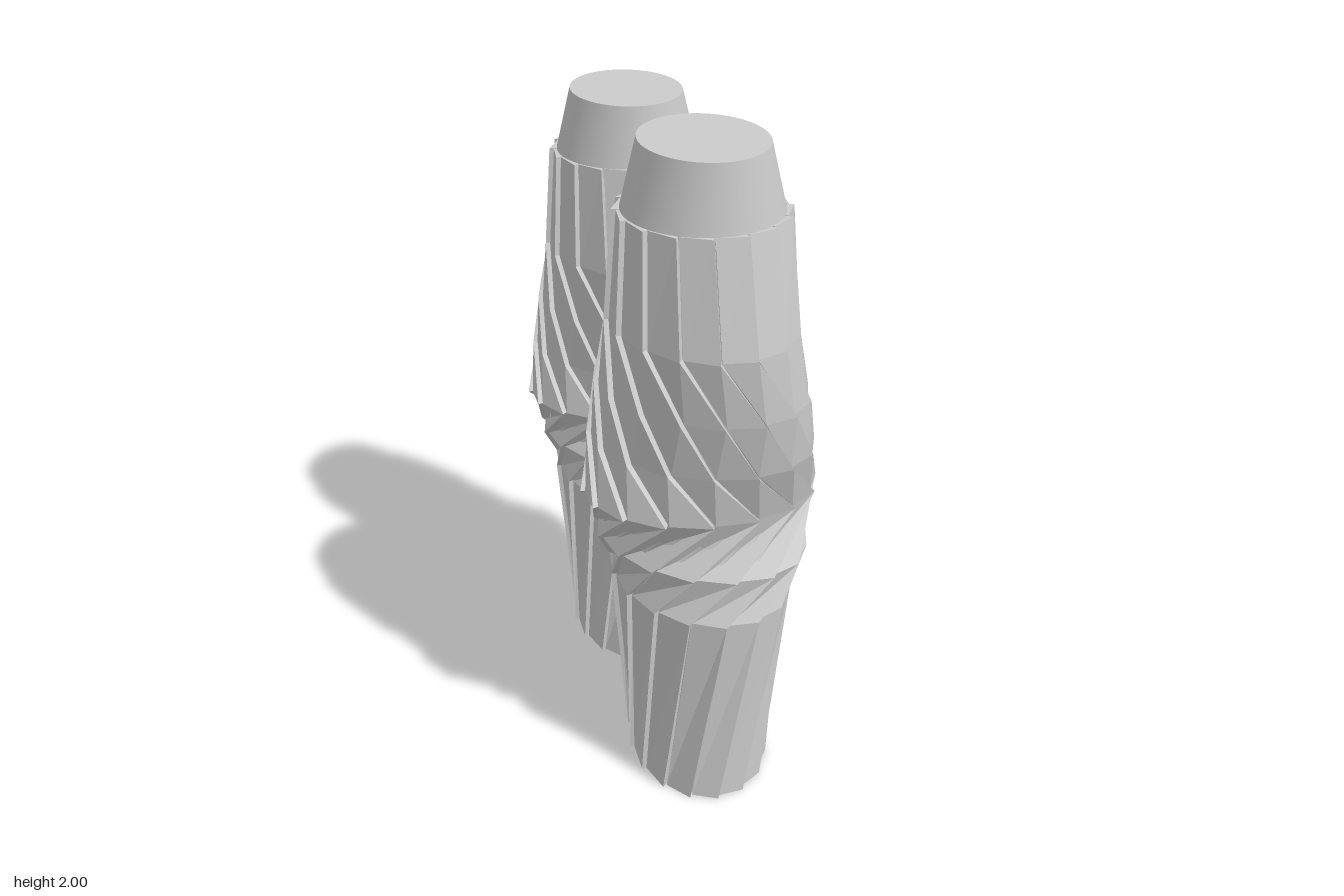
import * as THREE from 'three';
import { toCreasedNormals } from 'three/addons/utils/BufferGeometryUtils.js';

// Twisted elliptical sections: height, half width, half depth, twist in degrees
const SECTIONS = [
  [0.0, 0.218, 0.295, 0],
  [0.65, 0.252, 0.318, 20],
  [0.79, 0.262, 0.335, 46],
  [0.96, 0.262, 0.35, 86],
  [1.12, 0.264, 0.338, 57],
  [1.29, 0.268, 0.334, 38],
  [1.485, 0.262, 0.313, 15],
  [1.81, 0.245, 0.25, 15],
];
const PANELS = 16;
const THICK = 0.024;

// Point on a section at an angle, pushed inward by inset
function pointOn([y, a, b, twist], angle, inset) {
  const u = (a - inset) * Math.sin(angle);
  const v = (b - inset) * Math.cos(angle);
  const t = THREE.MathUtils.degToRad(twist);
  return [
    u * Math.cos(t) + v * Math.sin(t),
    y,
    -u * Math.sin(t) + v * Math.cos(t),
  ];
}

// Closed solid through rings of points, each counterclockwise from above
function loft(rings, out = []) {
  const n = rings[0].length;
  for (let k = 0; k < rings.length - 1; k++) {
    const lo = rings[k], hi = rings[k + 1];
    for (let i = 0; i < n; i++) {
      const j = (i + 1) % n;
      out.push(...lo[i], ...lo[j], ...hi[j], ...lo[i], ...hi[j], ...hi[i]);
    }
  }
  const bottom = rings[0], top = rings[rings.length - 1];
  for (let i = 1; i < n - 1; i++) {
    out.push(...top[0], ...top[i], ...top[i + 1]);
    out.push(...bottom[0], ...bottom[i + 1], ...bottom[i]);
  }
  return out;
}

function toGeometry(positions) {
  const g = new THREE.BufferGeometry();
  g.setAttribute('position', new THREE.Float32BufferAttribute(positions, 3));
  g.computeVertexNormals();
  return g;
}

function ellipseRing(section, inset) {
  return Array.from({ length: 48 }, (_, i) => pointOn(section, (i / 48) * Math.PI * 2, inset));
}

// One belt of overlapping slats, each with one edge standing proud
function bandGeometry(lower, upper) {
  const positions = [];
  const step = (Math.PI * 2) / PANELS;
  for (let i = 0; i < PANELS; i++) {
    const a0 = (i + 0.03) * step;
    const a1 = (i + 0.98) * step;
    const slice = (s) => [
      pointOn(s, a0, 0.014),
      pointOn(s, a1, 0),
      pointOn(s, a1, THICK),
      pointOn(s, a0, THICK + 0.014),
    ];
    loft([slice(lower), slice(upper)], positions);
  }
  return toGeometry(positions);
}

function createTower(name) {
  const tower = new THREE.Group();
  tower.name = name;
  const slatMaterial = new THREE.MeshStandardMaterial({ color: 0xcccccc, flatShading: true });
  const coreMaterial = new THREE.MeshStandardMaterial({ color: 0xcccccc });

  // Slatted belts
  for (let i = 0; i < SECTIONS.length - 1; i++) {
    const band = new THREE.Mesh(bandGeometry(SECTIONS[i], SECTIONS[i + 1]), slatMaterial);
    band.name = `slatBand${i + 1}`;
    tower.add(band);
  }

  // Inner core behind the slats
  const coreRings = SECTIONS.map((s) => ellipseRing(s, 0.026));
  const core = new THREE.Mesh(toCreasedNormals(toGeometry(loft(coreRings)), 0.5), coreMaterial);
  core.name = 'core';
  tower.add(core);

  // Smooth tapering crown
  const crownRings = [
    ellipseRing([1.78, 0.23, 0.236, 0], 0),
    ellipseRing([2.0, 0.175, 0.217, 0], 0),
  ];
  const crown = new THREE.Mesh(toCreasedNormals(toGeometry(loft(crownRings)), 0.7), coreMaterial);
  crown.name = 'crown';
  tower.add(crown);
  return tower;
}

export function createModel() {
  const model = new THREE.Group();
  model.name = 'twinTowers';

  const front = createTower('frontTower');
  front.position.set(0.023, 0, 0.355);

  // Slightly smaller copy behind
  const back = createTower('backTower');
  back.scale.setScalar(0.972);
  back.position.set(-0.037, 0, -0.361);

  model.add(front, back);
  return model;
}
